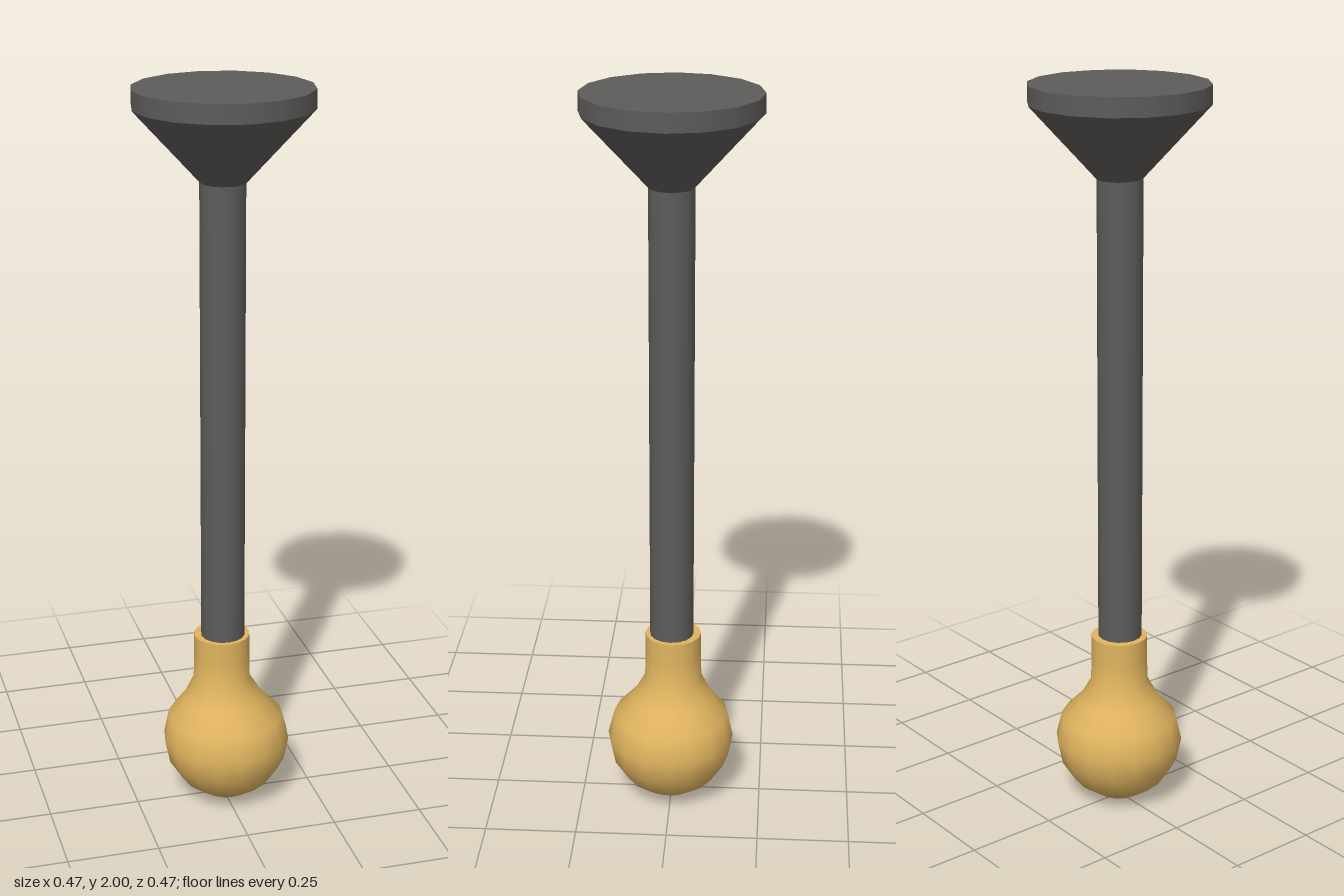
import * as THREE from 'three';

export function createModel() {
  const group = new THREE.Group();
  const metal = new THREE.MeshStandardMaterial({ color: 0x5e5c5a });
  metal.name = 'dark metal';
  const amber = new THREE.MeshStandardMaterial({ color: 0xe0b45f });
  amber.name = 'amber glass';

  function add(name, geometry, material, x, y, z) {
    const mesh = new THREE.Mesh(geometry, material);
    mesh.name = name;
    mesh.position.set(x, y, z);
    group.add(mesh);
  }

  // Ceiling mount: a flat disc above a cone
  add('ceilingPlate', new THREE.CylinderGeometry(0.234, 0.234, 0.05, 16), metal, 0, 1.975, 0);
  add('ceilingCone', new THREE.CylinderGeometry(0.234, 0.06, 0.19, 16, 1, true), metal, 0, 1.855, 0);

  // Hanging rod, running a little way into the bulb neck
  add('rod', new THREE.CylinderGeometry(0.06, 0.06, 1.32, 16), metal, -0.002, 1.1, 0);

  // Bulb and neck in one smooth profile
  const profile = [
    [0, 0], [0.065, 0.013], [0.124, 0.055], [0.163, 0.115], [0.176, 0.18],
    [0.16, 0.247], [0.112, 0.3], [0.079, 0.36], [0.077, 0.43], [0.077, 0.495],
  ].map(([r, y]) => new THREE.Vector2(r, y));
  const bulb = new THREE.LatheGeometry(profile, 16);
  // The bulb hangs slightly off the neck's axis
  const p = bulb.attributes.position;
  for (let i = 0; i < p.count; i++) {
    const t = THREE.MathUtils.smoothstep(p.getY(i), 0.2, 0.36);
    p.setX(i, p.getX(i) + THREE.MathUtils.lerp(0.007, -0.004, t));
    p.setZ(i, p.getZ(i) + THREE.MathUtils.lerp(0.003, -0.004, t));
  }
  add('bulb', bulb, amber, 0, 0, 0);

  // Rim closing the neck around the rod
  const rim = new THREE.CircleGeometry(0.077, 16).rotateX(-Math.PI / 2);
  add('neckRim', rim, amber, -0.004, 0.495, -0.004);

  return group;
}
